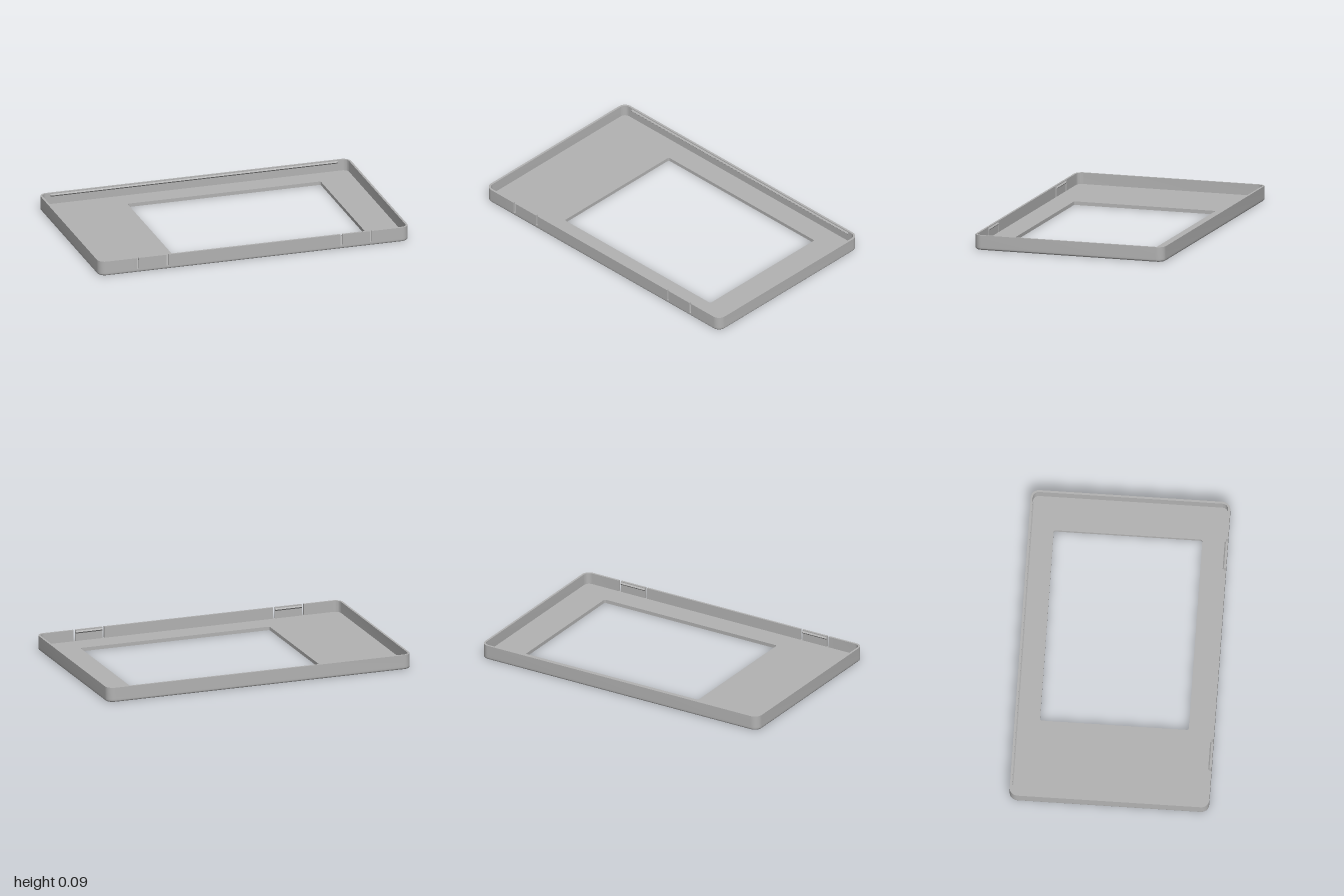
import * as THREE from 'three';
import { toCreasedNormals } from 'three/addons/utils/BufferGeometryUtils.js';

const W = 1, D = 0.614, H = 0.093;      // half width, half depth, height
const T = 0.013, FLOOR = 0.022;         // wall and floor thickness
const R = 0.05, FILLET = 0.012;         // corner radius, bottom edge rounding
const SLOTS = [0.561, 0.751], SLOT = 0.007; // slot centres and half width

// Rounded rectangle, counter-clockwise, starting at the front left corner
function roundedRect(x0, x1, y0, y1, r, steps = 8) {
  const corners = [[x1 - r, y0 + r], [x1 - r, y1 - r], [x0 + r, y1 - r], [x0 + r, y0 + r]];
  const pts = [];
  corners.forEach(([cx, cy], i) => {
    for (let k = 0; k <= steps; k++) {
      const a = (i - 1 + k / steps) * Math.PI / 2;
      pts.push(new THREE.Vector2(cx + r * Math.cos(a), cy + r * Math.sin(a)));
    }
  });
  return pts;
}
const outline = inset => roundedRect(-W + inset, W - inset, -D + inset, D - inset, R - inset);

// Horizontal slab between two heights; shape y points to the back
function slab(shape, y0, y1) {
  const g = new THREE.ExtrudeGeometry(shape, { depth: y1 - y0, bevelEnabled: false });
  g.rotateX(-Math.PI / 2).translate(0, y0, 0);
  return toCreasedNormals(g, 0.5);
}

// Band lofted through outlines given as [inset, height]
function loft(profile) {
  const pos = [], index = [];
  profile.forEach(([inset, y]) => outline(inset).forEach(p => pos.push(p.x, y, -p.y)));
  const n = outline(0).length;
  for (let j = 0; j < profile.length - 1; j++) {
    for (let i = 0; i < n; i++) {
      const a = j * n + i, b = j * n + (i + 1) % n;
      index.push(a, b, b + n, a, b + n, a + n);
    }
  }
  const g = new THREE.BufferGeometry();
  g.setAttribute('position', new THREE.Float32BufferAttribute(pos, 3));
  g.setIndex(index);
  return toCreasedNormals(g, 0.5);
}

// Triangular snap ridge along x, pointing towards side (+1 front, -1 back)
function ridge(x0, x1, z, side) {
  const s = new THREE.Shape([
    new THREE.Vector2(0, 0.07), new THREE.Vector2(-side * 0.008, 0.079), new THREE.Vector2(0, 0.087),
  ]);
  const g = new THREE.ExtrudeGeometry(s, { depth: x1 - x0, bevelEnabled: false });
  return g.rotateY(Math.PI / 2).translate(x0, 0, z);
}

export function createModel() {
  const group = new THREE.Group();
  const grey = new THREE.MeshStandardMaterial({ color: 0xb3b3b3 });
  grey.name = 'grey plastic';
  const add = (name, geometry) => {
    const mesh = new THREE.Mesh(geometry, grey);
    mesh.name = name;
    group.add(mesh);
  };

  // Floor panel with the offset window
  const panel = new THREE.Shape(outline(FILLET));
  panel.holes.push(new THREE.Path(roundedRect(-0.475, 0.77, -0.455, 0.46, 0.012, 4).reverse()));
  add('floorPanel', slab(panel, 0, FLOOR));

  // Rounded lower edge
  const profile = [];
  for (let k = 0; k <= 5; k++) {
    const a = k / 5 * Math.PI / 2;
    profile.push([FILLET * (1 - Math.sin(a)), FILLET * (1 - Math.cos(a))]);
  }
  profile.push([0, FLOOR], [T, FLOOR]);
  add('lowerEdge', loft(profile));

  // Wall running round the sides and back, ending at the outer slots
  const end = SLOTS[1] + SLOT;
  const v = (x, y) => new THREE.Vector2(x, y);
  add('surroundWall', slab(new THREE.Shape([
    v(end, -D), ...outline(0), v(-end, -D),
    v(-end, -D + T), ...outline(T).reverse(), v(end, -D + T),
  ]), FLOOR, H));

  // Front wall centre and the two snap tabs between the slots
  const frontWall = (name, x0, x1) => {
    const g = new THREE.BoxGeometry(x1 - x0, H - FLOOR, T);
    add(name, g.translate((x0 + x1) / 2, (H + FLOOR) / 2, D - T / 2));
  };
  const mid = SLOTS[0] - SLOT, t0 = SLOTS[0] + SLOT, t1 = SLOTS[1] - SLOT;
  frontWall('frontWallCentre', -mid, mid);
  [['left', t0, t1], ['right', -t1, -t0]].forEach(([side, x0, x1]) => {
    frontWall(side + 'SnapTab', x0, x1);
    add(side + 'SnapRidge', ridge(x0, x1, D - T, -1));
  });

  // Long retaining ridge inside the back wall
  add('backRidge', ridge(-0.925, 0.925, -D + T, 1));

  return group;
}
